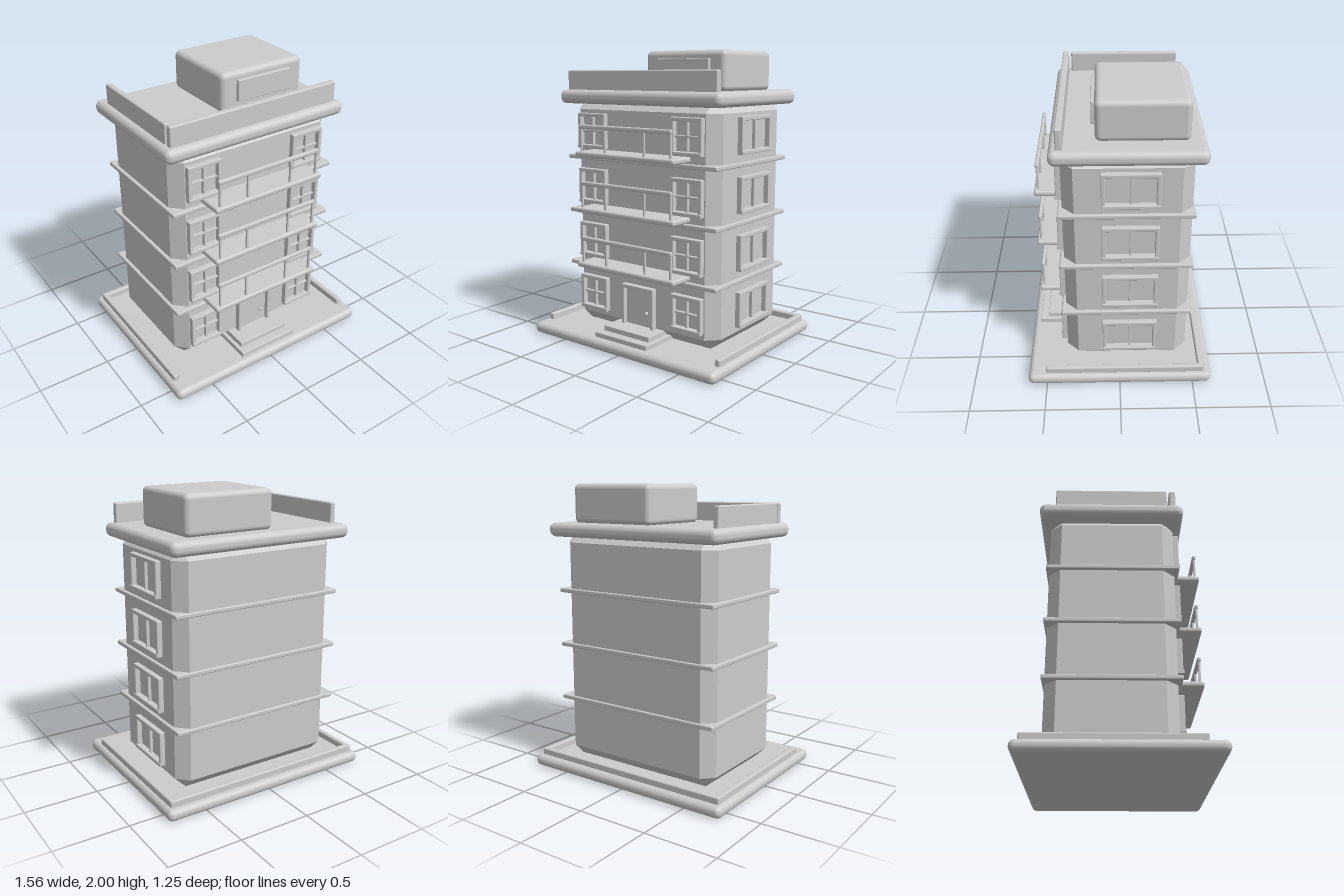
import * as THREE from 'three';
import { RoundedBoxGeometry } from 'three/addons/geometries/RoundedBoxGeometry.js';
import { ConvexGeometry } from 'three/addons/geometries/ConvexGeometry.js';

const plaster = new THREE.MeshStandardMaterial({ color: 0xcccccc });
plaster.name = 'plaster grey';

const FLOOR = 0.383; // storey height
const FRONT = 0.36; // front wall z
const SIDE = 0.607; // side wall x

function add(parent, name, geometry) {
  const mesh = new THREE.Mesh(geometry, plaster);
  mesh.name = name;
  parent.add(mesh);
  return mesh;
}

// Box given by its extents on each axis, with softened edges
function block(parent, name, [x0, x1], [y0, y1], [z0, z1], radius = 0.005, segments = 2) {
  const g = new RoundedBoxGeometry(x1 - x0, y1 - y0, z1 - z0, segments, radius);
  g.translate((x0 + x1) / 2, (y0 + y1) / 2, (z0 + z1) / 2);
  return add(parent, name, g);
}

// Box with flat chamfers on every edge
function chamferedBox(w, h, d, c) {
  const half = [w / 2, h / 2, d / 2];
  const points = [];
  for (const sx of [-1, 1]) for (const sy of [-1, 1]) for (const sz of [-1, 1])
    for (let axis = 0; axis < 3; axis++) {
      const p = half.map((v, i) => (i === axis ? v : v - c));
      points.push(new THREE.Vector3(p[0] * sx, p[1] * sy, p[2] * sz));
    }
  return new ConvexGeometry(points);
}

// Window facing +z with its back on z = 0
function makeWindow(name, w, h, crossBar) {
  const win = new THREE.Group();
  win.name = name;
  const t = 0.026, x = w / 2, y = h / 2, depth = [-0.01, 0.036];
  block(win, 'frameTop', [-x, x], [y - t, y], depth);
  block(win, 'frameSill', [-x, x], [-y, -y + t], [-0.01, 0.042]);
  block(win, 'frameLeft', [x - t, x], [-y, y], depth);
  block(win, 'frameRight', [-x, -x + t], [-y, y], depth);
  block(win, 'mullion', [-0.007, 0.007], [-y + t, y - t], [-0.005, 0.022], 0.003, 1);
  if (crossBar) block(win, 'crossBar', [-x + t, x - t], [-0.007, 0.007], [-0.005, 0.022], 0.003, 1);
  return win;
}

function makeBalcony(y) {
  const balcony = new THREE.Group();
  balcony.name = 'balcony';
  block(balcony, 'balconyFloor', [-0.418, 0.415], [y, y + 0.037], [0.34, 0.54], 0.014, 3);
  block(balcony, 'handrail', [-0.39, 0.385], [y + 0.187, y + 0.217], [0.502, 0.527], 0.01);
  for (const x of [-0.377, -0.168, 0.165, 0.375])
    block(balcony, 'railPost', [x - 0.007, x + 0.007], [y + 0.03, y + 0.2], [0.507, 0.522], 0.003, 1);
  return balcony;
}

export function createModel() {
  const model = new THREE.Group();
  model.name = 'apartmentBuilding';

  // Ground slab with a low kerb on three sides
  block(model, 'groundSlab', [-0.78, 0.78], [0, 0.078], [-0.625, 0.625], 0.036, 4);
  block(model, 'backKerb', [-0.745, 0.745], [0.07, 0.122], [-0.577, -0.538], 0.01);
  for (const [name, s] of [['leftKerb', 1], ['rightKerb', -1]])
    block(model, name, [s * 0.725 - 0.02, s * 0.725 + 0.02], [0.07, 0.122], [-0.575, 0.505], 0.01);

  // Main body
  const body = add(model, 'walls', chamferedBox(SIDE * 2, 1.605, 0.82, 0.077));
  body.position.set(0, 0.8805, -0.05);

  // Storeys: band courses, balconies and windows
  for (let i = 0; i < 4; i++) {
    const y = i * FLOOR;
    if (i > 0) {
      block(model, 'floorBand', [-0.63, 0.63], [0.11 + y, 0.14 + y], [-0.475, 0.385], 0.008);
      model.add(makeBalcony(0.148 + y));
    }
    for (const x of [-0.402, 0.4]) {
      const win = makeWindow('frontWindow', 0.244, 0.242, true);
      win.position.set(x, 0.312 + y, FRONT);
      model.add(win);
    }
    const sideWindow = makeWindow('sideWindow', 0.365, 0.242, false);
    sideWindow.position.set(SIDE, 0.312 + y, -0.068);
    sideWindow.rotation.y = Math.PI / 2;
    model.add(sideWindow);
  }

  // Entrance
  const entrance = new THREE.Group();
  entrance.name = 'entrance';
  model.add(entrance);
  block(entrance, 'doorPanel', [-0.115, 0.112], [0.14, 0.405], [0.34, 0.372], 0.004);
  block(entrance, 'doorLintel', [-0.139, 0.135], [0.402, 0.428], [0.34, 0.4]);
  for (const x of [-0.127, 0.123])
    block(entrance, 'doorJamb', [x - 0.012, x + 0.012], [0.14, 0.425], [0.34, 0.4]);
  const knob = add(entrance, 'doorKnob', new THREE.SphereGeometry(0.013, 16, 10));
  knob.position.set(0.065, 0.245, 0.378);
  block(entrance, 'upperStep', [-0.2, 0.195], [0.1, 0.148], [0.27, 0.515], 0.006);
  block(entrance, 'lowerStep', [-0.228, 0.222], [0.07, 0.112], [0.27, 0.575], 0.006);

  // Roof slab, parapets and stair house
  block(model, 'roofSlab', [-0.678, 0.675], [1.645, 1.74], [-0.53, 0.424], 0.042, 4);
  block(model, 'frontParapet', [-0.628, 0.624], [1.72, 1.873], [0.335, 0.378], 0.01);
  block(model, 'rightParapet', [-0.63, -0.59], [1.72, 1.873], [-0.428, 0.32], 0.01);
  block(model, 'stairHouse', [-0.114, 0.526], [1.735, 2], [-0.428, 0.147], 0.036, 4);
  block(model, 'stairHousePanel', [0, 0.414], [1.803, 1.947], [0.13, 0.17], 0.005);

  return model;
}
